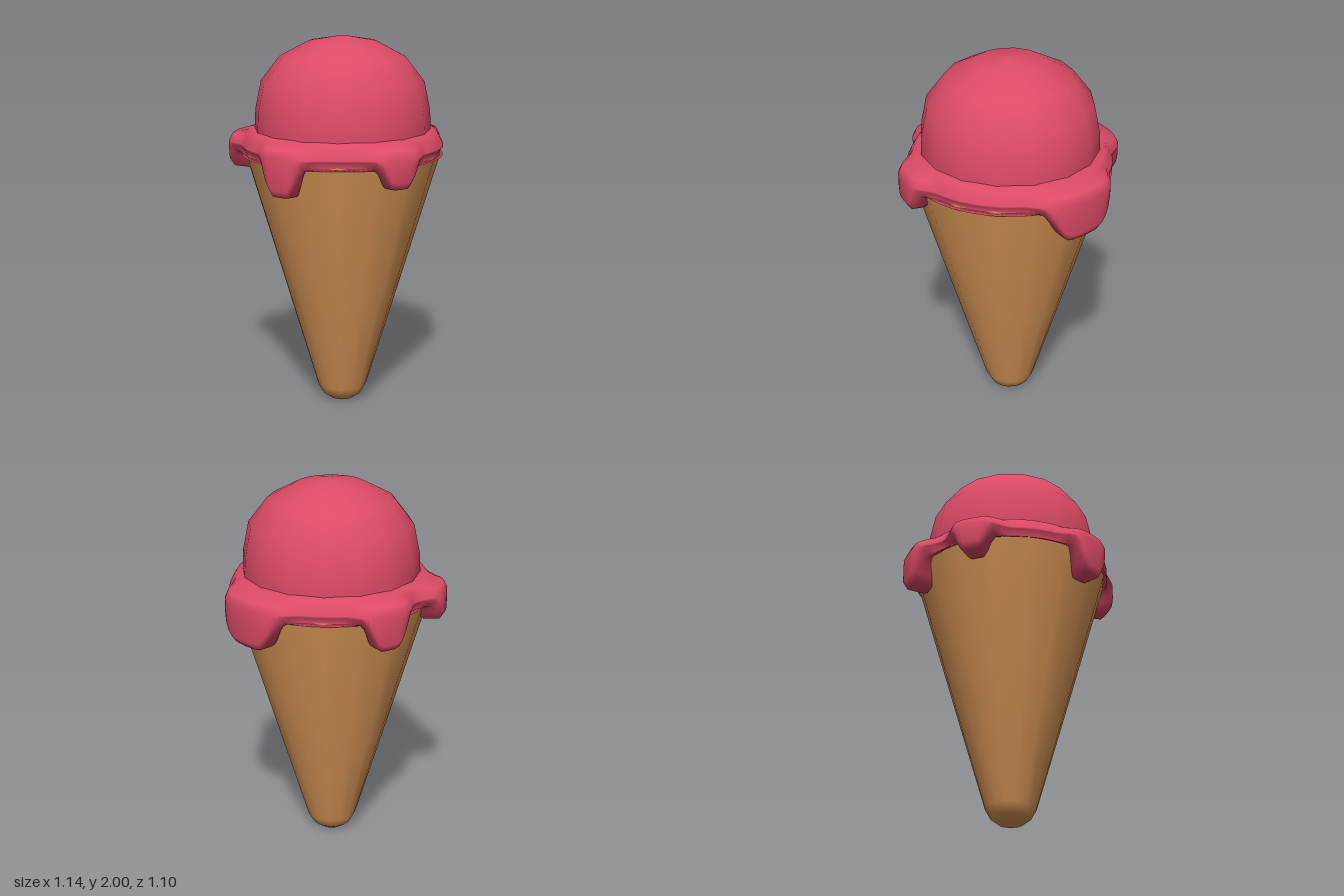
import * as THREE from 'three';
import { mergeVertices } from 'three/addons/utils/BufferGeometryUtils.js';

const pinkIce = new THREE.MeshStandardMaterial({ color: 0xdc4a66 });
pinkIce.name = 'pinkIce';
const wafer = new THREE.MeshStandardMaterial({ color: 0xd99656 });
wafer.name = 'wafer';

// Drips around the rim: centre angle (from +x towards +z) and half width in degrees, bottom height, reach
const drips = [
  { angle: 57, half: 10, bottom: 1.275, reach: 0.595 },
  { angle: 120, half: 10.5, bottom: 1.23, reach: 0.595 },
  { angle: 189, half: 9, bottom: 1.285, reach: 0.61 },
  { angle: 236, half: 11, bottom: 1.24, reach: 0.605 },
  { angle: 313, half: 21, bottom: 1.22, reach: 0.605 },
];
const RIM_Y = 1.38;
const coneRadius = (y) => 0.135 + 0.296 * (y - 0.08);

function lathe(points, segments) {
  return new THREE.LatheGeometry(points.map(([r, y]) => new THREE.Vector2(r, y)), segments);
}

function mesh(name, geometry, material) {
  const m = new THREE.Mesh(geometry, material);
  m.name = name;
  return m;
}

// Outer radius and lower edge of the melted skirt at one angle
function skirtAt(degrees) {
  let reach = 0.532;
  let bottom = RIM_Y;
  for (const d of drips) {
    const off = Math.abs(((degrees - d.angle + 540) % 360) - 180);
    const drop = 1 - THREE.MathUtils.smoothstep(off, d.half * 0.4, d.half + 3);
    const swell = 1 - THREE.MathUtils.smoothstep(off, d.half * 0.6, d.half + 13);
    bottom = Math.min(bottom, RIM_Y - (RIM_Y - d.bottom) * drop);
    reach = Math.max(reach, 0.532 + (d.reach - 0.532) * swell);
  }
  return { reach, bottom };
}

// Rounded cross-section swept round the rim, hanging lower at each drip
function skirtGeometry() {
  const rows = 8;
  const geometry = lathe(Array.from({ length: rows }, (_, j) => [0.5, 1.3 + j * 0.02]), 144);
  const pos = geometry.attributes.position;
  for (let i = 0; i < pos.count; i++) {
    const angle = Math.atan2(pos.getZ(i), pos.getX(i));
    const { reach, bottom } = skirtAt((THREE.MathUtils.radToDeg(angle) + 360) % 360);
    const section = [
      [coneRadius(bottom) - 0.03, bottom + 0.02],
      [coneRadius(bottom) + 0.012, bottom],
      [reach - 0.025, bottom + 0.008],
      [reach, bottom + 0.045],
      [reach, 1.435],
      [reach - 0.02, 1.475],
      [0.495, 1.503],
      [0.45, 1.512],
    ];
    const [r, y] = section[i % rows];
    pos.setXYZ(i, r * Math.cos(angle), y, r * Math.sin(angle));
  }
  geometry.deleteAttribute('uv');
  geometry.deleteAttribute('normal');
  const welded = mergeVertices(geometry, 1e-5);
  welded.computeVertexNormals();
  return welded;
}

export function createModel() {
  const group = new THREE.Group();
  group.name = 'iceCreamCone';

  // Tapered wafer with a blunt rounded tip
  const cone = lathe([
    [0, 0], [0.065, 0.003], [0.105, 0.032], [0.135, 0.085],
    [coneRadius(0.6), 0.6], [coneRadius(RIM_Y), RIM_Y], [0.5, 1.41],
  ], 16);
  group.add(mesh('cone', cone, wafer));

  // Domed scoop
  const scoop = lathe([
    [0.465, 1.46], [0.466, 1.52], [0.461, 1.61], [0.43, 1.76],
    [0.33, 1.89], [0.178, 1.97], [0, 2],
  ], 16);
  group.add(mesh('scoop', scoop, pinkIce));

  // Melted edge with drips
  group.add(mesh('meltedSkirt', skirtGeometry(), pinkIce));

  group.children.forEach((part) => { part.position.x = 0.035; });
  return group;
}
